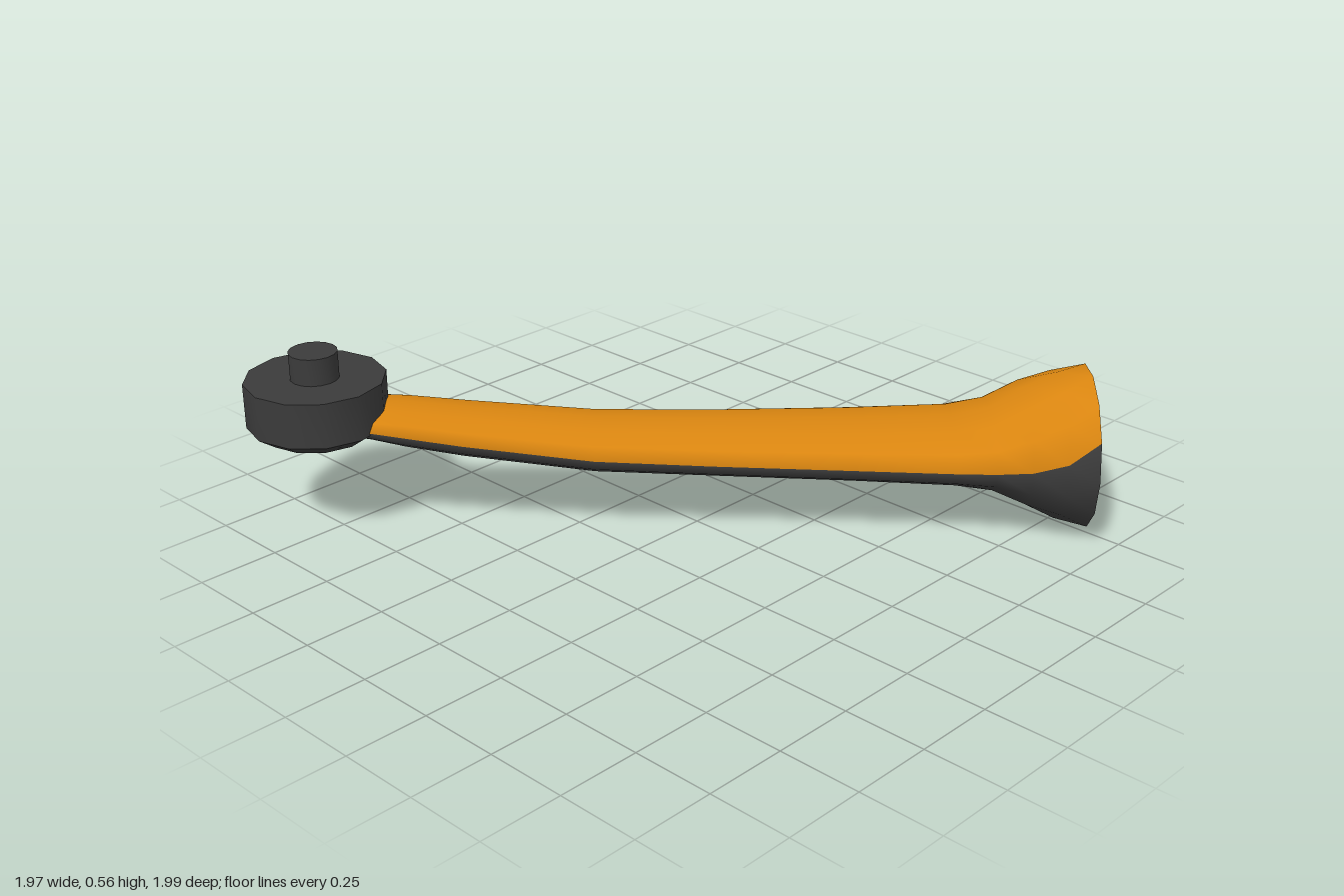
import * as THREE from 'three';
import { toCreasedNormals } from 'three/addons/utils/BufferGeometryUtils.js';

const mat = (name, color) => new THREE.MeshStandardMaterial({ name, color });

// Handle sections: [z, half width, sideways offset, bottom y, top y, right seam angle, left seam angle]
const SECTIONS = [
  [-1.05, 0.118, 0.015, 0.325, 0.385, 0, 180],
  [-0.95, 0.123, 0.015, 0.300, 0.402, 0, 180],
  [-0.85, 0.128, 0.015, 0.275, 0.398, 0, 180],
  [-0.68, 0.136, 0.014, 0.245, 0.380, 0, 180],
  [-0.30, 0.154, 0.013, 0.196, 0.344, 0, 180],
  [0.05, 0.172, 0.013, 0.183, 0.336, 0, 180],
  [0.45, 0.193, 0.012, 0.168, 0.336, 0, 180],
  [0.75, 0.212, 0.008, 0.155, 0.344, 0, 180],
  [0.86, 0.222, 0.005, 0.138, 0.368, 0, 180],
  [0.96, 0.230, 0.002, 0.080, 0.430, -2, 178],
  [1.06, 0.237, 0, 0.030, 0.470, -4, 170],
  [1.15, 0.245, 0, 0.002, 0.487, -8, 154],
];
const UPPER = 6, LOWER = 7, RING = UPPER + LOWER;

// Elliptical ring; the upper and lower arcs meet at the two seam angles
function ring([, w, x, y0, y1, a0, a1]) {
  return Array.from({ length: RING }, (_, j) => {
    const deg = j <= UPPER
      ? a0 + (a1 - a0) * j / UPPER
      : a1 + (360 + a0 - a1) * (j - UPPER) / LOWER;
    const a = THREE.MathUtils.degToRad(deg);
    return new THREE.Vector2(x + w * Math.cos(a), (y0 + y1) / 2 + (y1 - y0) / 2 * Math.sin(a));
  });
}

function handleGeometry() {
  const pos = [], index = [];
  for (const s of SECTIONS) for (const p of ring(s)) pos.push(p.x, p.y, s[0]);
  const strip = (from, to) => {
    for (let i = 0; i < SECTIONS.length - 1; i++) {
      for (let j = from; j < to; j++) {
        const a = i * RING + j, b = i * RING + (j + 1) % RING;
        index.push(a, b, b + RING, a, b + RING, a + RING);
      }
    }
  };
  strip(0, UPPER);
  const split = index.length;
  strip(UPPER, RING);
  const geo = new THREE.BufferGeometry();
  geo.setAttribute('position', new THREE.Float32BufferAttribute(pos, 3));
  geo.setIndex(index);
  geo.addGroup(0, split, 0);
  geo.addGroup(split, index.length - split, 1);
  geo.computeVertexNormals();
  return geo;
}

const lathe = (points, sides) => toCreasedNormals(
  new THREE.LatheGeometry(points.map(([r, y]) => new THREE.Vector2(r, y)), sides), 0.75);

export function createModel() {
  const orange = mat('orange', 0xd98510);
  const grey = mat('darkGrey', 0x3b3b3b);
  const black = mat('black', 0x0a0a0a);
  const model = new THREE.Group();
  model.name = 'crankHandle';
  const add = (parent, name, geo, material) => {
    const mesh = new THREE.Mesh(geo, material);
    mesh.name = name;
    parent.add(mesh);
    return mesh;
  };

  // Handle, laid along the diagonal, with orange upper and grey lower shell
  const handle = new THREE.Group();
  handle.name = 'handle';
  handle.rotation.y = Math.PI / 4;
  model.add(handle);
  add(handle, 'handleShell', handleGeometry(), [orange, grey]);

  // Flat face closing the flared end
  const last = SECTIONS[SECTIONS.length - 1];
  add(handle, 'endFace', new THREE.ShapeGeometry(new THREE.Shape(ring(last))), black)
    .position.z = last[0];

  // Pivot hub with rounded underside, and its post
  const hub = new THREE.Group();
  hub.name = 'hub';
  hub.position.set(-0.78, 0, -0.792);
  model.add(hub);
  add(hub, 'hubBody', lathe([[0, 0.284], [0.08, 0.29], [0.155, 0.306], [0.208, 0.343], [0.208, 0.48], [0, 0.48]], 12), grey);
  add(hub, 'hubPost', lathe([[0.072, 0.47], [0.072, 0.562], [0, 0.562]], 16), grey);

  return model;
}
